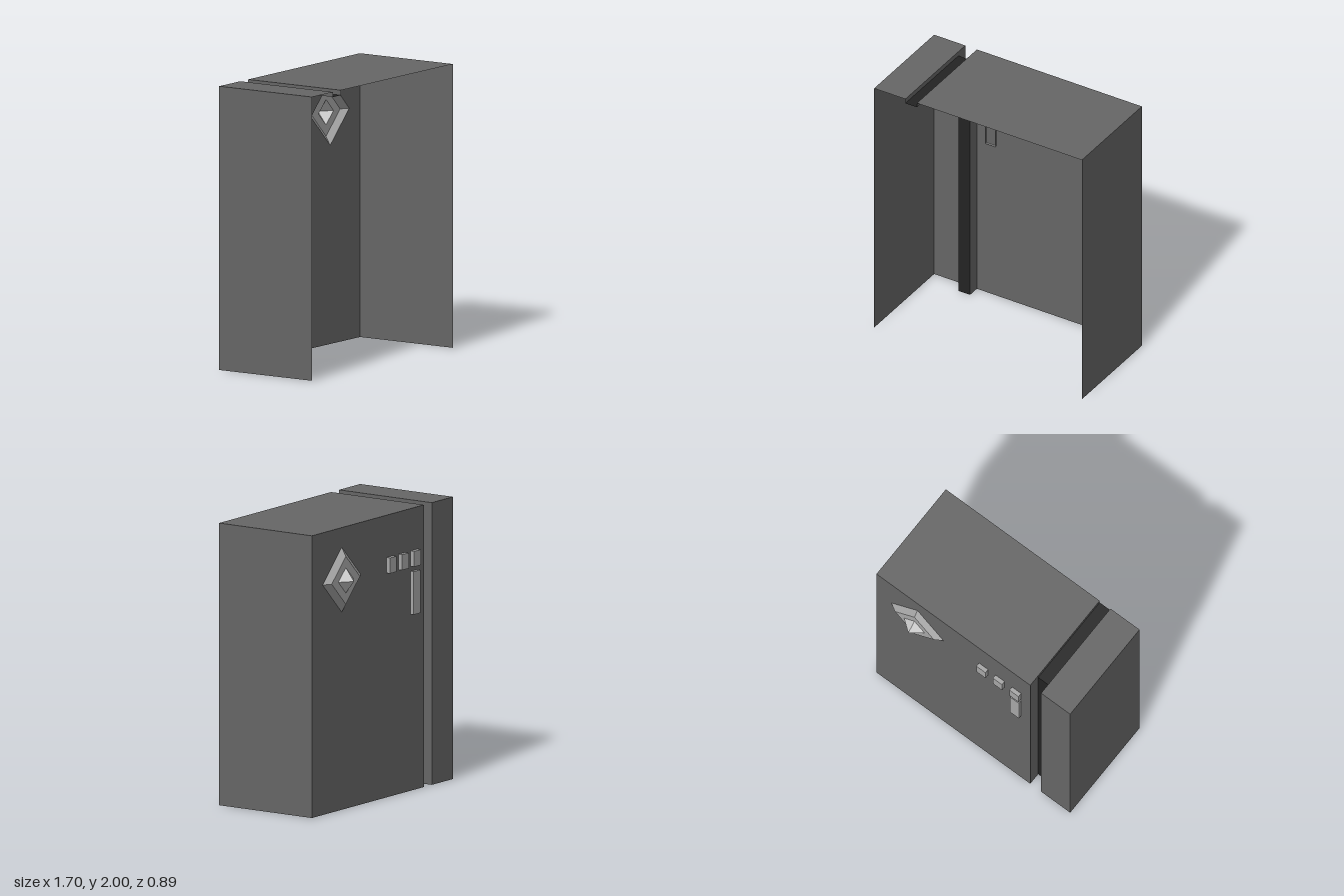
import * as THREE from 'three';

const X = 0.85, H = 2, BACK = -0.34, FRONT = 0.45;   // shell limits
const S0 = -0.595, S1 = -0.5;                        // groove sides
const GZ = -0.25, GY = 1.965;                        // groove floor
const MID = (BACK + FRONT) / 2, DEPTH = FRONT - BACK;

const mat = (name, color) => {
  const m = new THREE.MeshStandardMaterial({ color, side: THREE.DoubleSide, flatShading: true });
  m.name = name;
  return m;
};

export function createModel() {
  const casing = mat('casing grey', 0x666666);
  const dark = mat('groove black', 0x232323);
  const trim = mat('trim grey', 0xa8a8a8);
  const bright = mat('light grey', 0xcccccc);
  const model = new THREE.Group();

  const add = (name, geo, material, x = 0, y = 0, z = 0) => {
    const mesh = new THREE.Mesh(geo, material);
    mesh.name = name;
    mesh.position.set(x, y, z);
    model.add(mesh);
    return mesh;
  };
  const polygon = (pts) => new THREE.Shape(pts.map(([x, y]) => new THREE.Vector2(x, y)));

  // Open-fronted, bottomless shell: a narrow and a wide section either side of the groove
  for (const [label, x0, x1] of [['narrow', -X, S0], ['wide', S1, X]]) {
    const back = polygon([[-x1, 0], [-x0, 0], [-x0, H], [-x1, H]]);
    if (label === 'wide') {
      // opening behind the diamond fitting
      back.holes.push(polygon([[-0.26, 1.63], [-0.49, 1.86], [-0.72, 1.63], [-0.49, 1.4]]));
    }
    add(label + 'BackPanel', new THREE.ShapeGeometry(back).rotateY(Math.PI), casing, 0, 0, BACK);
    add(label + 'TopPanel', new THREE.PlaneGeometry(x1 - x0, DEPTH).rotateX(-Math.PI / 2),
      casing, (x0 + x1) / 2, H, MID);
  }
  for (const s of [-1, 1]) {
    add(s < 0 ? 'rightPanel' : 'leftPanel',
      new THREE.PlaneGeometry(DEPTH, H).rotateY(s * Math.PI / 2), casing, s * X, H / 2, MID);
  }

  // Groove running down the back and over the top
  const grooveSide = polygon([[BACK, 0], [GZ, 0], [GZ, GY], [FRONT, GY], [FRONT, H], [BACK, H]]);
  for (const x of [S0, S1]) {
    add('grooveSide', new THREE.ShapeGeometry(grooveSide).rotateY(-Math.PI / 2), casing, x);
  }
  const gx = (S0 + S1) / 2, gw = S1 - S0;
  add('grooveBack', new THREE.PlaneGeometry(gw, GY).rotateY(Math.PI), dark, gx, GY / 2, GZ);
  add('grooveTop', new THREE.PlaneGeometry(gw, FRONT - GZ).rotateX(-Math.PI / 2),
    dark, gx, GY, (FRONT + GZ) / 2);

  // Four-sided diamond fitting: bevelled frame with a pyramid in the middle
  const fourSided = (pts) => new THREE.LatheGeometry(
    pts.map(([r, h]) => new THREE.Vector2(r, h)), 4).rotateX(-Math.PI / 2);
  add('diamondFrame', fourSided([[0.23, 0], [0.17, 0.035], [0.09, 0.035]]), trim, 0.49, 1.63, BACK);
  add('diamondPyramid', fourSided([[0.09, 0.035], [0, 0.105]]), bright, 0.49, 1.63, BACK);

  // Buttons and a tall plate, hollow towards the inside
  const hollowBox = (name, x, y0, y1, zBack) => {
    const zIn = BACK + 0.015;
    const geo = new THREE.BoxGeometry(0.08, y1 - y0, zIn - zBack);
    const idx = Array.from(geo.index.array);
    idx.splice(24, 6);                               // drop the inner face
    geo.setIndex(idx);
    geo.clearGroups();
    add(name, geo, trim, x, (y0 + y1) / 2, (zIn + zBack) / 2);
  };
  for (const x of [-0.38, -0.235, -0.09]) hollowBox('button', x, 1.59, 1.7, -0.37);
  hollowBox('tallPlate', -0.38, 1.25, 1.555, -0.366);

  return model;
}
